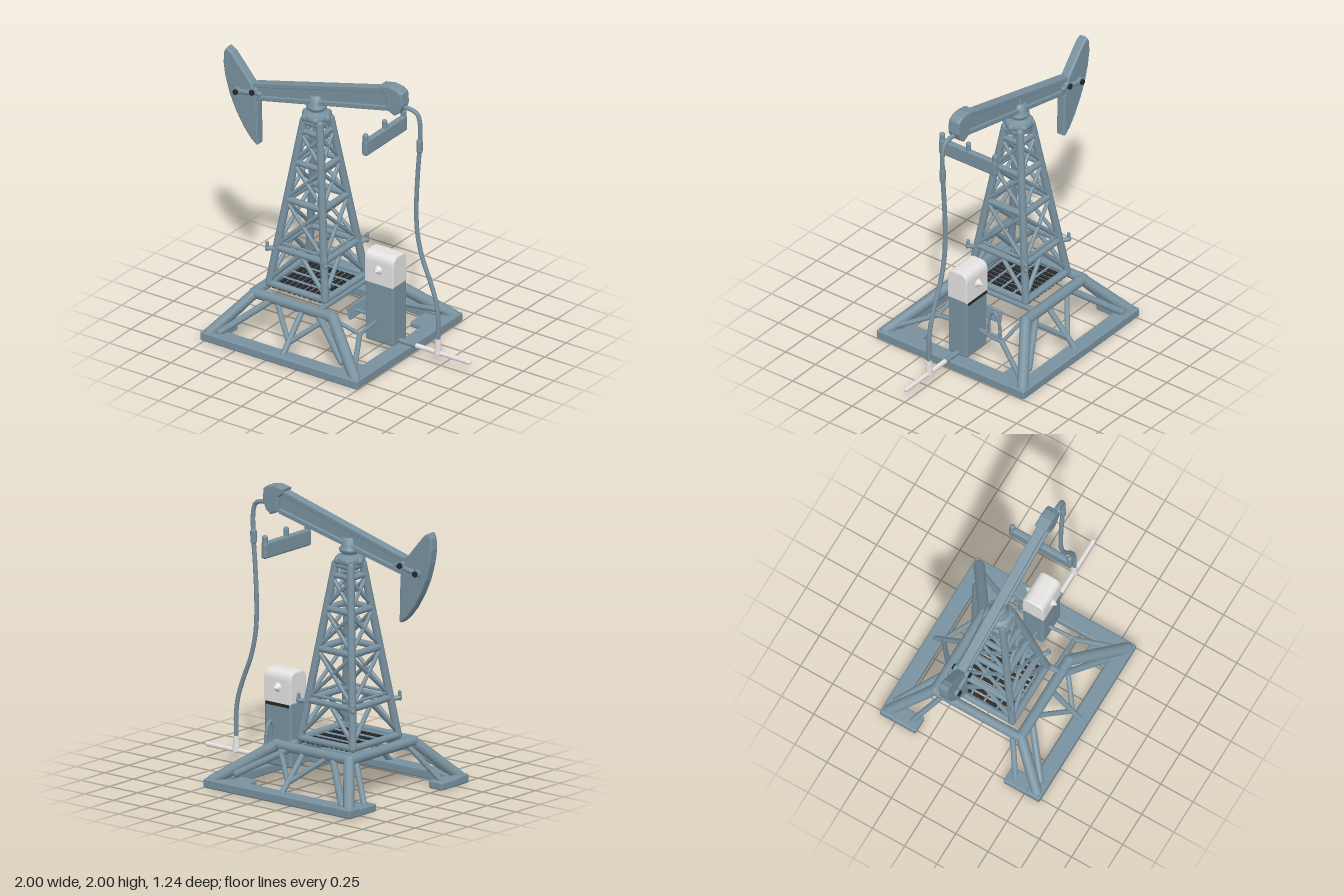
import * as THREE from 'three';
import { RoundedBoxGeometry } from 'three/addons/geometries/RoundedBoxGeometry.js';

export function createModel() {
  const model = new THREE.Group();
  model.name = 'oilPump';
  const steel = new THREE.MeshStandardMaterial({ color: 0x78919f });
  steel.name = 'blue grey steel';
  const white = new THREE.MeshStandardMaterial({ color: 0xe4e2e0 });
  white.name = 'white paint';
  const dark = new THREE.MeshStandardMaterial({ color: 0x242628 });
  dark.name = 'dark metal';

  const group = (name) => {
    const g = new THREE.Group();
    g.name = name;
    model.add(g);
    return g;
  };
  const add = (parent, name, geo, mat = steel, pos = [0, 0, 0]) => {
    const m = new THREE.Mesh(geo, mat);
    m.name = name;
    m.position.set(...pos);
    parent.add(m);
    return m;
  };
  // round-ended bar between two points
  const bar = (parent, name, a, b, r, mat = steel) => {
    const A = new THREE.Vector3(...a), B = new THREE.Vector3(...b);
    const d = B.clone().sub(A);
    const m = add(parent, name, new THREE.CapsuleGeometry(r, d.length(), 3, 10), mat);
    m.position.copy(A).add(B).multiplyScalar(0.5);
    m.quaternion.setFromUnitVectors(new THREE.Vector3(0, 1, 0), d.normalize());
    return m;
  };
  // block given by its min and max corners
  const block = (parent, name, lo, hi, r = 0.012, mat = steel) => add(parent, name,
    new RoundedBoxGeometry(hi[0] - lo[0], hi[1] - lo[1], hi[2] - lo[2], 2, r), mat,
    lo.map((v, i) => (v + hi[i]) / 2));
  // outline in x, y with a total thickness in z
  const slab = (parent, name, pts, depth, bevel = 0) => {
    const shape = new THREE.Shape(pts.map((p) => new THREE.Vector2(...p)));
    const geo = new THREE.ExtrudeGeometry(shape, {
      depth: depth - 2 * bevel, bevelEnabled: bevel > 0, bevelThickness: bevel,
      bevelSize: bevel, bevelOffset: -bevel, bevelSegments: 2,
    });
    return add(parent, name, geo, steel, [0, 0, -depth / 2 + bevel]);
  };

  // ground frame, open in the middle of its right side
  const base = group('groundFrame');
  block(base, 'endRail', [0.385, 0, -0.62], [0.5, 0.065, 0.62]);
  for (const s of [-1, 1]) {
    const z = (a, b) => [Math.min(s * a, s * b), Math.max(s * a, s * b)];
    const [r0, r1] = z(0.51, 0.62), [t0, t1] = z(0.34, 0.62);
    block(base, 'sideRail', [-0.78, 0, r0], [0.5, 0.065, r1]);
    block(base, 'footPlate', [-0.78, 0, t0], [-0.66, 0.055, t1]);
    block(base, 'innerFootPlate', [0.26, 0, t0], [0.4, 0.04, t1]);

    // sloping legs and platform rail
    bar(base, 'cornerLeg', [-0.735, 0.05, s * 0.575], [-0.53, 0.31, s * 0.33], 0.038);
    bar(base, 'cornerLeg', [0.455, 0.05, s * 0.575], [0.1, 0.31, s * 0.33], 0.04);
    bar(base, 'platformRail', [-0.53, 0.31, s * 0.33], [0.1, 0.31, s * 0.33], 0.037);
    bar(base, 'innerLeg', [-0.72, 0.05, s * 0.4], [-0.54, 0.29, s * 0.27], 0.02);
    bar(base, 'kneeBrace', [-0.66, 0.07, s * 0.56], [-0.4, 0.29, s * 0.34], 0.024);
    bar(base, 'kneeBrace', [0.3, 0.11, s * 0.51], [0.0, 0.29, s * 0.34], 0.024);

    // Y-shaped middle strut
    bar(base, 'middlePost', [-0.14, 0.06, s * 0.56], [-0.14, 0.29, s * 0.34], 0.02);
    for (const x of [-0.33, 0.05])
      bar(base, 'middleBrace', [-0.14, 0.12, s * 0.5], [x, 0.28, s * 0.35], 0.018);

    // thin stays on the drive side
    bar(base, 'stay', [0.43, 0.07, s * 0.56], [0.28, 0.21, s * 0.27], 0.018);
    bar(base, 'stay', [0.28, 0.21, s * 0.27], [0.02, 0.27, s * 0.27], 0.014);
    bar(base, 'stay', [0.28, 0.21, s * 0.27], [0.27, 0.22, s * 0.07], 0.014);
  }
  bar(base, 'platformCrossRail', [-0.54, 0.31, -0.33], [-0.54, 0.31, 0.33], 0.035);
  bar(base, 'platformCrossRail', [-0.01, 0.33, -0.3], [-0.01, 0.33, 0.3], 0.02);

  // slatted floor under the tower
  const floor = group('towerFloor');
  for (let i = 0; i < 11; i++) {
    const x = -0.45 + i * 0.042;
    block(floor, 'floorSlat', [x, 0.335, -0.25], [x + 0.025, 0.35, 0.25], 0.004, dark);
  }
  for (const z of [-0.2, -0.1, 0, 0.1, 0.2])
    bar(floor, 'floorBearer', [-0.48, 0.352, z], [-0.02, 0.352, z], 0.008);

  // lattice tower
  const tower = group('tower');
  const cx = -0.255, y0 = 0.36, y1 = 1.56;
  const corner = (sx, y, sz, out = 0) => {
    const t = (y - y0) / (y1 - y0);
    return [cx + sx * (0.228 - 0.163 * t + out), y, sz * (0.235 - 0.172 * t + out)];
  };
  const sides = [[-1, 1, 1, 1], [1, 1, 1, -1], [1, -1, -1, -1], [-1, -1, -1, 1]];
  for (const [ax, az, bx, bz] of sides) {
    bar(tower, 'towerLeg', corner(ax, y0, az), corner(ax, y1, az), 0.027);
    for (const [y, r] of [[0.36, 0.024], [0.62, 0.022], [0.975, 0.024], [1.25, 0.022], [1.48, 0.02], [1.55, 0.022]])
      bar(tower, 'towerRing', corner(ax, y, az), corner(bx, y, bz), r);
    for (const [lo, hi] of [[0.64, 0.96], [0.99, 1.23], [1.27, 1.46]]) {
      bar(tower, 'crossBrace', corner(ax, lo, az), corner(bx, hi, bz), 0.014);
      bar(tower, 'crossBrace', corner(bx, lo, bz), corner(ax, hi, az), 0.014);
    }
    // bottom bay with an upturned V
    const p = corner(ax, 0.62, az), q = corner(bx, 0.62, bz);
    const mid = p.map((v, i) => (v + q[i]) / 2);
    bar(tower, 'lowerBrace', corner(ax, 0.39, az), mid, 0.016);
    bar(tower, 'lowerBrace', corner(bx, 0.39, bz), mid, 0.016);
    bar(tower, 'upperTie', corner(ax, 0.66, az), corner(bx, 0.66, bz), 0.011);
    // corner outriggers
    bar(tower, 'outrigger', corner(ax, 0.61, az), corner(ax, 0.62, az, 0.045), 0.017);
    bar(tower, 'outriggerTip', corner(ax, 0.61, az, 0.045), corner(ax, 0.66, az, 0.05), 0.012);
  }

  // pivot bearing on top of the tower
  const pivot = group('pivotBearing');
  const prof = [[0, 1.53], [0.075, 1.53], [0.08, 1.56], [0.098, 1.57], [0.1, 1.6], [0.085, 1.615],
    [0.05, 1.62], [0.05, 1.635], [0.07, 1.645], [0.072, 1.665], [0.05, 1.685], [0.045, 1.74], [0, 1.74]];
  add(pivot, 'bearing', new THREE.LatheGeometry(prof.map((p) => new THREE.Vector2(...p)), 24), steel, [cx - 0.005, 0, 0]);
  for (let i = 0; i < 6; i++) {
    const a = i * Math.PI / 3;
    add(pivot, 'bearingLug', new THREE.SphereGeometry(0.027, 12, 8), steel,
      [cx - 0.005 + 0.085 * Math.cos(a), 1.585, 0.085 * Math.sin(a)]);
  }

  // walking beam with an I section
  const beam = group('walkingBeam');
  slab(beam, 'beamWeb', [[-0.76, 1.57], [0.34, 1.82], [0.34, 1.97], [-0.76, 1.685]], 0.03);
  slab(beam, 'topFlange', [[-0.76, 1.655], [0.34, 1.942], [0.34, 1.98], [-0.76, 1.69]], 0.064, 0.006);
  slab(beam, 'bottomFlange', [[-0.76, 1.56], [0.34, 1.805], [0.34, 1.84], [-0.76, 1.595]], 0.064, 0.006);
  slab(beam, 'webStiffener', [[-0.275, 1.68], [-0.235, 1.69], [-0.25, 1.81], [-0.29, 1.8]], 0.056, 0.005);
  slab(beam, 'tailBlock', [[0.335, 1.82], [0.4, 1.79], [0.44, 1.82], [0.468, 1.88], [0.46, 1.965],
    [0.42, 1.99], [0.36, 2.0], [0.28, 1.985], [0.29, 1.95], [0.33, 1.92]], 0.09, 0.012);

  // curved head
  const head = group('curvedHead');
  slab(head, 'headPlate', [[-0.975, 1.895], [-0.995, 1.86], [-1.0, 1.78], [-0.985, 1.68], [-0.95, 1.56], [-0.9, 1.45],
    [-0.84, 1.35], [-0.78, 1.275], [-0.73, 1.235], [-0.718, 1.24], [-0.725, 1.54], [-0.735, 1.62],
    [-0.775, 1.69], [-0.86, 1.79], [-0.93, 1.87]], 0.07, 0.012);
  for (const s of [-1, 1]) {
    bar(head, 'headLink', [-0.88, 1.6, s * 0.037], [-0.7, 1.63, s * 0.037], 0.018);
    for (const [x, y] of [[-0.88, 1.6], [-0.745, 1.635]]) {
      const washer = add(head, 'boltWasher', new THREE.CylinderGeometry(0.03, 0.03, 0.03, 16), steel, [x, y, s * 0.04]);
      const bolt = add(head, 'bolt', new THREE.CylinderGeometry(0.021, 0.021, 0.034, 6), dark, [x, y, s * 0.052]);
      washer.rotation.x = bolt.rotation.x = Math.PI / 2;
    }
  }

  // crossbar below the tail
  const yoke = group('crossbar');
  block(yoke, 'crossbarBody', [0.272, 1.54, -0.242], [0.316, 1.655, 0.242], 0.016);
  for (const s of [-1, 1])
    bar(yoke, 'crossbarEar', [0.294, 1.58, s * 0.222], [0.294, 1.685, s * 0.222], 0.02);
  bar(yoke, 'crossbarLug', [0.294, 1.62, 0], [0.294, 1.7, 0], 0.018);

  // hose and outlet pipe
  const hose = group('hose');
  const path = new THREE.CatmullRomCurve3([[0.42, 1.855], [0.5, 1.855], [0.56, 1.835], [0.582, 1.77], [0.58, 1.6],
    [0.565, 1.4], [0.553, 1.15], [0.56, 0.95], [0.6, 0.77], [0.66, 0.62], [0.71, 0.48], [0.73, 0.36], [0.73, 0.18]]
    .map(([x, y]) => new THREE.Vector3(x, y, 0)));
  add(hose, 'hoseTube', new THREE.TubeGeometry(path, 70, 0.016, 10));
  bar(hose, 'hoseSleeve', [0.579, 1.565, 0], [0.58, 1.635, 0], 0.022);
  add(hose, 'outletRiser', new THREE.CylinderGeometry(0.018, 0.027, 0.11, 14), white, [0.73, 0.14, 0]);
  bar(hose, 'outletPipe', [0.555, 0.092, 0], [0.982, 0.092, 0], 0.017, white);
  bar(hose, 'inletPipe', [0.41, 0.092, 0], [0.55, 0.092, 0], 0.018);

  // motor cabinet, its cap rounded across the top
  const cabinet = group('motorCabinet');
  block(cabinet, 'cabinetBody', [0.188, 0.07, -0.08], [0.42, 0.53, 0.08], 0.018);
  const cap = new THREE.Shape();
  cap.moveTo(-0.082, 0.51);
  cap.lineTo(0.082, 0.51);
  cap.lineTo(0.082, 0.67);
  cap.quadraticCurveTo(0.082, 0.735, 0.02, 0.735);
  cap.lineTo(-0.02, 0.735);
  cap.quadraticCurveTo(-0.082, 0.735, -0.082, 0.67);
  const capGeo = new THREE.ExtrudeGeometry(cap, { depth: 0.216, bevelThickness: 0.01, bevelSize: 0.01, bevelOffset: -0.01, bevelSegments: 2, curveSegments: 10 });
  add(cabinet, 'cabinetCap', capGeo, white, [0.196, 0, 0]).rotation.y = Math.PI / 2;
  for (const s of [-1, 1]) {
    const knob = add(cabinet, 'capKnob', new THREE.ConeGeometry(0.036, 0.045, 14), white, [0.3, 0.62, s * 0.1]);
    knob.rotation.x = s * Math.PI / 2;
  }
  add(cabinet, 'capSeam', new THREE.BoxGeometry(0.2, 0.022, 0.006), dark, [0.304, 0.5, -0.081]);

  // hoop beside the cabinet
  const hoop = new THREE.CatmullRomCurve3([[0.23, -0.15], [0.34, -0.155], [0.4, -0.175], [0.415, -0.195],
    [0.4, -0.215], [0.34, -0.238], [0.23, -0.248]].map(([y, z]) => new THREE.Vector3(0.27, y, z)));
  add(cabinet, 'hoop', new THREE.TubeGeometry(hoop, 30, 0.011, 8));
  bar(cabinet, 'hoopFoot', [0.27, 0.23, -0.07], [0.27, 0.23, -0.25], 0.012);

  // drive wheel between tower and cabinet
  const drive = group('driveWheel');
  const tilt = Math.PI / 2 + 0.25;
  block(drive, 'wheelPlate', [0.065, 0.19, -0.11], [0.085, 0.28, 0.11], 0.008).rotation.z = tilt - Math.PI / 2;
  bar(drive, 'driveShaft', [0.07, 0.235, 0.03], [0.19, 0.235, 0.03], 0.012);

  return model;
}
